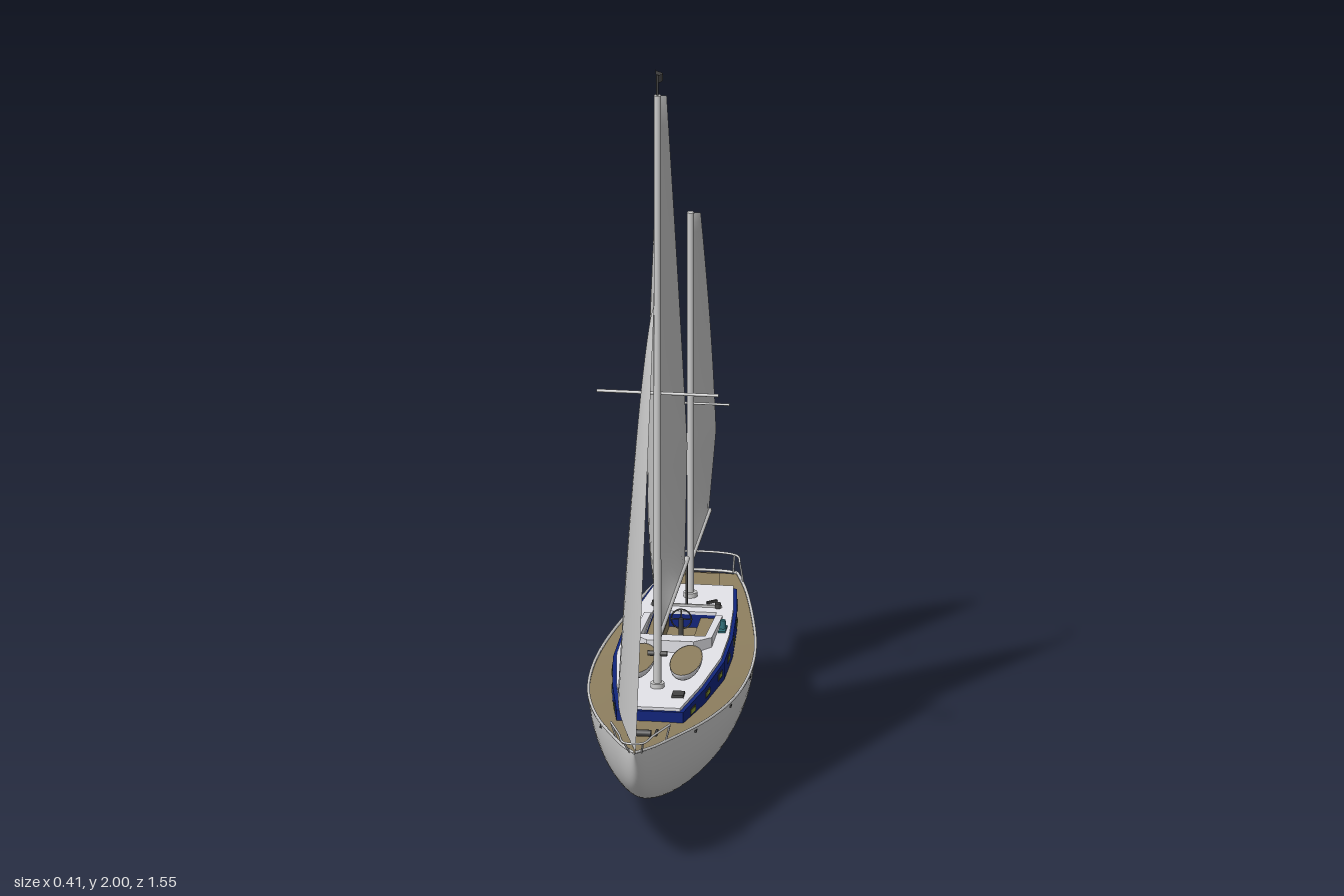
import * as THREE from 'three';

const GREY = 0xcccccc, TAN = 0x8f8060, NAVY = 0x10247c, WHITE = 0xe4e4ea, DARK = 0x444444, LIME = 0x8a9a30, TEAL = 0x2f6f78;
const V = (x, y, z) => new THREE.Vector3(x, y, z);
const lerp = THREE.MathUtils.lerp;

export function createModel() {
  const boat = new THREE.Group();
  boat.name = 'ketch';

  function add(name, geo, color = GREY, double = false) {
    const mat = new THREE.MeshStandardMaterial({ color });
    if (double) mat.side = THREE.DoubleSide;
    const m = new THREE.Mesh(geo, mat);
    m.name = name;
    boat.add(m);
    return m;
  }
  // Smooth grid surface; its face points along du x dv
  function surface(fn, nu, nv) {
    const pos = [], idx = [], w = nu + 1;
    for (let j = 0; j <= nv; j++) for (let i = 0; i <= nu; i++) pos.push(...fn(i / nu, j / nv).toArray());
    for (let j = 0; j < nv; j++) for (let i = 0; i < nu; i++) {
      const a = j * w + i;
      idx.push(a, a + 1, a + w, a + 1, a + w + 1, a + w);
    }
    const g = new THREE.BufferGeometry();
    g.setAttribute('position', new THREE.Float32BufferAttribute(pos, 3));
    g.setIndex(idx);
    g.computeVertexNormals();
    return g;
  }
  function rod(name, a, b, r, color = GREY, r2 = r) {
    const d = b.clone().sub(a);
    const m = add(name, new THREE.CylinderGeometry(r2, r, d.length(), 12), color);
    m.position.copy(a).addScaledVector(d, 0.5);
    m.quaternion.setFromUnitVectors(V(0, 1, 0), d.normalize());
    return m;
  }
  function tube(name, pts, r, color = GREY, n = 48) {
    return add(name, new THREE.TubeGeometry(new THREE.CatmullRomCurve3(pts), n, r, 6), color);
  }
  function box(name, x, y, z, w, h, d, color = GREY) {
    const m = add(name, new THREE.BoxGeometry(w, h, d), color);
    m.position.set(x, y, z);
    return m;
  }
  // Horizontal slab from a plan outline of [x, z] points
  function slab(name, outline, y0, y1, color, hole) {
    const flip = pts => pts.map(([x, z]) => new THREE.Vector2(x, -z));
    const s = new THREE.Shape(flip(outline));
    if (hole) s.holes.push(new THREE.Path(flip(hole)));
    const g = new THREE.ExtrudeGeometry(s, { depth: y1 - y0, bevelEnabled: false });
    return add(name, g.rotateX(-Math.PI / 2).translate(0, y0, 0), color);
  }
  const mirrored = pts => [...pts, ...pts.slice().reverse().map(([x, z]) => [-x, z])];

  // Hull: elliptical sections between the sheer line and the keel line
  const sheer = new THREE.CatmullRomCurve3([[0, .345, .745], [.035, .337, .68], [.075, .327, .58], [.14, .312, .4], [.185, .3, .2],
    [.2, .293, 0], [.19, .292, -.2], [.157, .298, -.4], [.115, .308, -.58], [.085, .315, -.665]].map(p => V(...p)));
  const keelLine = new THREE.CatmullRomCurve3([[.345, .745], [.235, .685], [.165, .58], [.1, .4], [.065, .2],
    [.055, 0], [.06, -.2], [.11, -.4], [.18, -.58], [.225, -.705]].map(([y, z]) => V(0, y, z)));
  function section(u, v) {
    const s = sheer.getPoint(v), k = keelLine.getPoint(v), a = u * Math.PI, d = Math.sin(a);
    return V(s.x * Math.cos(a), lerp(s.y, k.y, d), lerp(s.z, k.z, d));
  }
  add('hull', surface(section, 32, 64));
  const sternTop = sheer.getPoint(1).setX(0);
  add('transom', surface((u, v) => section(u, 1).lerp(sternTop, v), 32, 4));
  add('deck', surface((u, v) => {
    const s = sheer.getPoint(v), k = 2 * u - 1;
    return V(s.x * k, s.y - .004 + .006 * (1 - k * k) * s.x / .2, s.z);
  }, 10, 60), TAN);
  for (const side of [1, -1]) {
    const edge = [];
    for (let i = 0; i <= 24; i++) edge.push(sheer.getPoint(i / 24).multiply(V(side, 1, 1)));
    tube('toeRail', edge, .004);
  }
  tube('sternToeRail', [V(.085, .315, -.665), V(.05, .316, -.672), V(-.05, .316, -.672), V(-.085, .315, -.665)], .004);

  // Keel fin: a cylinder flared into the hull
  const fin = new THREE.CylinderGeometry(1, 1, 1, 28, 8), fp = fin.attributes.position;
  for (let i = 0; i < fp.count; i++) {
    const t = fp.getY(i) + .5, f = t * t;
    fp.setXYZ(i, fp.getX(i) * lerp(.014, .05, f), t * .08, fp.getZ(i) * lerp(.16, .235, f) - lerp(.107, .08, f));
  }
  fin.computeVertexNormals();
  add('keel', fin);

  // Skeg and rudder with the propeller opening
  const blade = new THREE.Shape([[-.42, .13], [-.52, .115], [-.57, .065], [-.6, .042], [-.67, .042], [-.635, .215], [-.5, .18]]
    .map(([z, y]) => new THREE.Vector2(-z, y)));
  const opening = new THREE.Path();
  opening.absellipse(.583, .12, .026, .034, 0, Math.PI * 2);
  blade.holes.push(opening);
  add('rudder', new THREE.ExtrudeGeometry(blade, { depth: .016, bevelEnabled: false }).translate(0, 0, -.008).rotateY(Math.PI / 2));
  rod('propellerShaft', V(0, .12, -.54), V(0, .12, -.6), .006, DARK);
  for (let i = 0; i < 3; i++) {
    const b = box('propellerBlade', 0, .12, -.585, .011, .05, .004, DARK);
    b.geometry.translate(0, .012, 0);
    b.rotation.z = i * Math.PI * 2 / 3;
  }

  // Cabin trunk with its cockpit opening
  const side = [[.085, .43], [.118, .25], [.142, .05], [.142, -.12], [.128, -.32], [.108, -.48]];
  const well = mirrored([[.08, -.04], [.08, -.28]]);
  slab('cabinWalls', mirrored(side), .288, .341, NAVY, well);
  slab('cabinRoof', mirrored(side.map(([x, z]) => [x - .009, z > 0 ? z - .008 : z])), .341, .349, WHITE, well);
  for (let i = 0; i < 7; i++) {
    const z = .35 - i * .128, k = Math.max(1, side.findIndex(p => p[1] <= z));
    const [x0, z0] = side[k - 1], [x1, z1] = side[k];
    const x = lerp(x0, x1, (z - z0) / (z1 - z0));
    for (const s of [1, -1]) {
      box('window', s * x, .32, z, .005, .011, .036, LIME).rotation.y = s * Math.atan2(x1 - x0, z1 - z0);
      box('windowFrame', s * x, .32, z, .003, .017, .042, DARK).rotation.y = s * Math.atan2(x1 - x0, z1 - z0);
    }
  }

  // Cockpit
  box('cockpitSole', 0, .303, -.16, .16, .006, .24, TAN);
  for (const s of [1, -1]) box('cockpitBench', s * .06, .318, -.16, .04, .03, .24, TAN);
  box('cockpitBulkhead', 0, .32, -.042, .16, .05, .006, TAN);
  rod('binnacle', V(0, .3, -.2), V(0, .36, -.2), .006, DARK);
  const wheel = add('steeringWheel', new THREE.TorusGeometry(.026, .002, 6, 24), DARK);
  wheel.position.set(0, .355, -.208);
  for (let i = 0; i < 2; i++) box('wheelSpoke', 0, .355, -.208, .05, .003, .003, DARK).rotation.z = i * Math.PI / 2;
  // Coaming, sloping down towards the stern
  const coaming = slab('coaming', mirrored([[.06, .02], [.1, -.03], [.1, -.25], [.082, -.25], [.082, -.04]]), 0, 1, WHITE);
  const cp = coaming.geometry.attributes.position;
  for (let i = 0; i < cp.count; i++) cp.setY(i, .347 + cp.getY(i) * lerp(.006, .033, (cp.getZ(i) + .25) / .27));
  coaming.geometry.computeVertexNormals();

  // Roof and deck fittings
  for (const s of [1, -1]) {
    const tender = add('tender', new THREE.SphereGeometry(1, 24, 8, 0, Math.PI * 2, Math.PI / 2, Math.PI / 2), WHITE, true);
    tender.position.set(s * .06, .386, .17);
    tender.scale.set(.04, .037, .112);
    const top = add('tenderCover', new THREE.CircleGeometry(1, 24).rotateX(-Math.PI / 2), TAN);
    top.position.set(s * .06, .385, .17);
    top.scale.set(.039, 1, .11);
    rod('winch', V(s * .112, .348, -.16), V(s * .112, .375, -.16), .009, TEAL, .007);
    box('winchBase', s * .112, .35, -.16, .018, .006, .05, TEAL);
    rod('aftVent', V(s * .08, .348, -.315), V(s * .08, .362, -.315), .008, DARK);
    box('aftCleat', s * .06, .352, -.35, .03, .006, .006, DARK).rotation.y = s * .7;
    box('bowCleat', s * .035, .336, .57, .006, .01, .03, DARK);
    for (let i = 0; i < 5; i++) {
      const p = sheer.getPoint(.3 + i * .13);
      box('scupper', s * (p.x - .001), p.y - .012, p.z, .006, .005, .014, DARK);
    }
  }
  box('foreHatch', .06, .352, .33, .03, .008, .035, DARK);
  box('sheetTraveller', 0, .353, -.315, .18, .006, .006);
  slab('aftLocker', mirrored([[.06, -.5], [.042, -.645]]), .3, .319, TAN);
  rod('windlass', V(-.025, .345, .6), V(.025, .345, .6), .009, DARK);

  // Masts, booms and spreaders
  rod('mainMast', V(0, .34, .275), V(0, 1.945, .275), .01, GREY, .009);
  rod('mastheadPole', V(0, 1.94, .275), V(0, 2, .275), .003, DARK);
  rod('mizzenMast', V(0, .34, -.39), V(0, 1.385, -.39), .009);
  rod('mainBoom', V(0, .475, .265), V(0, .475, -.325), .007);
  rod('mizzenBoom', V(0, .44, -.4), V(0, .44, -.775), .006);
  rod('mainSpreader', V(-.155, 1.14, .27), V(.155, 1.14, .27), .004);
  rod('mizzenSpreader', V(-.1, .87, -.39), V(.1, .87, -.39), .003);
  rod('mainSheet', V(0, .35, -.315), V(0, .475, -.315), .003, DARK);
  for (const [z, y] of [[.275, .35], [-.39, .35]]) rod('mastCollar', V(0, y, z), V(0, y + .012, z), .018);
  for (const s of [1, -1]) rod('mastWinch', V(s * .008, .44, .275), V(s * .025, .44, .275), .007, DARK);
  add('pennant', surface((u, v) => V(.012 * Math.sin(u * 5), 1.988 + (v - .5) * lerp(.022, .008, u), .275 - .06 * u), 10, 2), DARK, true);

  // Sails: luff to leech across, foot to head upwards, with roach and belly
  function sail(name, tack, head, clew, roach, belly) {
    add(name, surface((u, v) => {
      const leech = clew.clone().lerp(head, v);
      leech.z -= roach * Math.sin(Math.PI * v);
      const p = tack.clone().lerp(head, v).lerp(leech, u);
      p.x += belly(u, v);
      return p;
    }, 16, 32), GREY, true);
  }
  const bulge = (u, v) => Math.sin(Math.PI * u) * Math.sin(Math.PI * Math.sqrt(v) * .98);
  sail('mainSail', V(0, .482, .262), V(0, 1.94, .262), V(0, .482, -.28), .015,
    (u, v) => .022 * u * Math.min(1, v * 4) - .06 * bulge(u, v));
  sail('mizzenSail', V(0, .447, -.402), V(0, 1.38, -.402), V(0, .447, -.767), .05,
    (u, v) => .025 * u * Math.min(1, v * 4) - .025 * bulge(u, v));
  sail('jib', V(0, .335, .715), V(0, 1.405, .34), V(0, .36, .125), -.02,
    (u, v) => -.098 * Math.pow(1 - v, .7) * Math.sin(Math.PI * .62 * u));

  // Bow and stern rails
  tube('bowRail', [V(-.075, .378, .62), V(-.045, .378, .7), V(-.022, .378, .765), V(.022, .378, .765), V(.045, .378, .7), V(.075, .378, .62)], .003);
  tube('sternRail', [V(-.1, .365, -.6), V(-.085, .365, -.655), V(-.045, .365, -.672), V(.045, .365, -.672), V(.085, .365, -.655), V(.1, .365, -.6)], .003);
  for (const s of [1, -1]) {
    rod('bowRailPost', V(s * .062, .325, .6), V(s * .075, .378, .62), .0025);
    rod('bowRailPost', V(s * .015, .335, .715), V(s * .025, .378, .762), .0025);
    rod('sternRailPost', V(s * .107, .31, -.61), V(s * .1, .365, -.6), .0025);
    rod('sternRailPost', V(s * .075, .315, -.66), V(s * .078, .365, -.66), .0025);
  }
  return boat;
}
